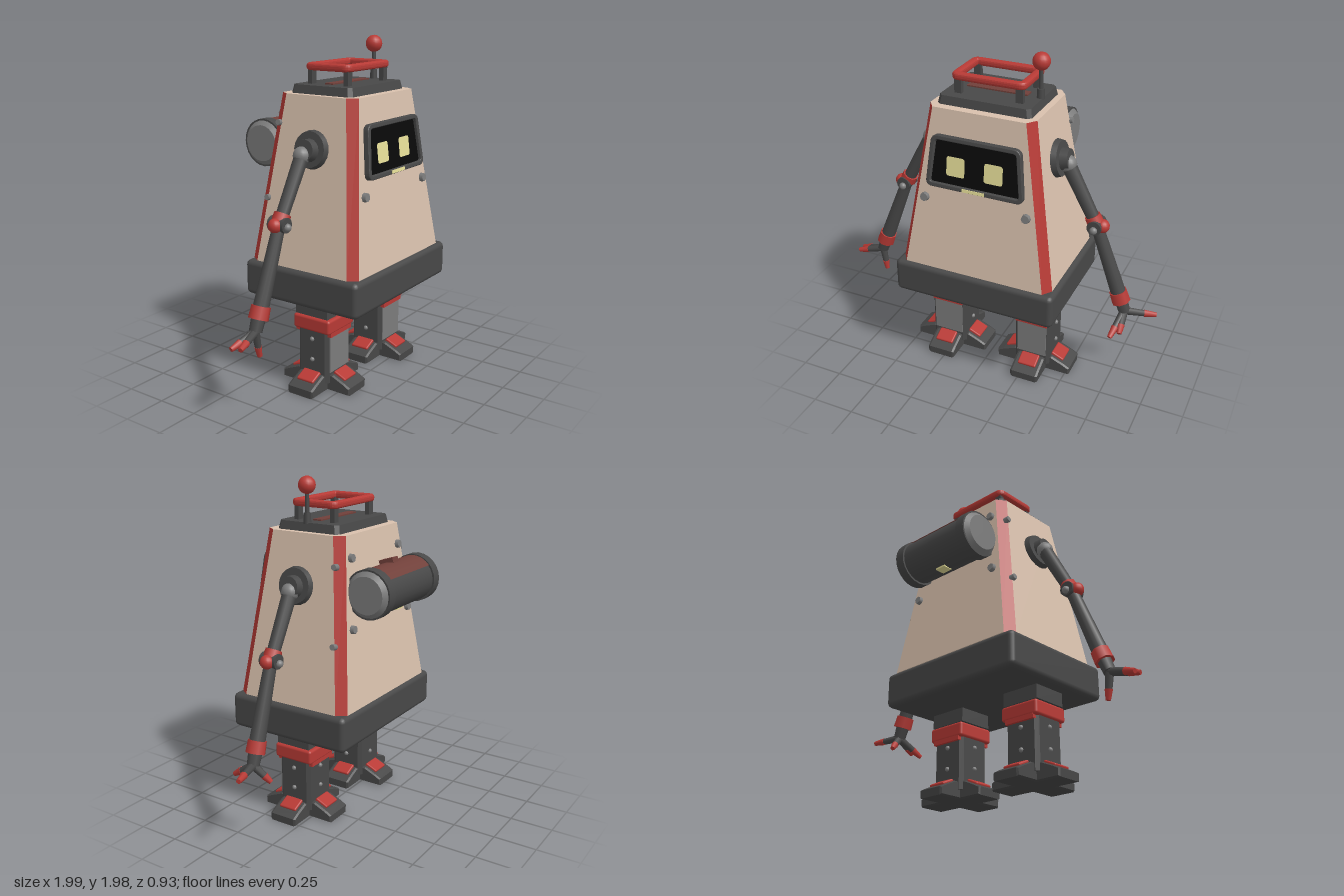
import * as THREE from 'three';
import { RoundedBoxGeometry } from 'three/addons/geometries/RoundedBoxGeometry.js';

const paint = (name, color) => Object.assign(new THREE.MeshStandardMaterial({ color }), { name });
const cream = paint('cream', 0xd9c1ad), red = paint('red', 0xb83a35), dark = paint('charcoal', 0x484848);
const grey = paint('grey', 0x7c7c7c), black = paint('black', 0x0a0a0a), yellow = paint('pale yellow', 0xe6de98);
const brown = paint('rust brown', 0x71403a);
const V = (x, y, z) => new THREE.Vector3(x, y, z);
const CX = 0.012, CZ = 0.07; // body axis

function add(parent, name, geo, mat, x = 0, y = 0, z = 0, rx = 0, ry = 0, rz = 0) {
  const m = new THREE.Mesh(geo, mat);
  m.name = name;
  m.position.set(x, y, z);
  m.rotation.set(rx, ry, rz);
  parent.add(m);
  return m;
}
const box = (w, h, d) => new THREE.BoxGeometry(w, h, d);
const soft = (w, h, d, r) => new RoundedBoxGeometry(w, h, d, 2, r);
const cyl = (r0, r1, h, n = 16) => new THREE.CylinderGeometry(r0, r1, h, n);
const ball = (r) => new THREE.SphereGeometry(r, 16, 12);

// Tapered rod between two points
function rod(parent, name, a, b, ra, rb, mat, n = 12) {
  const m = add(parent, name, cyl(rb, ra, a.distanceTo(b), n), mat);
  m.position.copy(a).lerp(b, 0.5);
  m.quaternion.setFromUnitVectors(V(0, 1, 0), b.clone().sub(a).normalize());
}

// Chamfered frustum; groups: 0 sides, 1 chamfers, 2 caps
function frustum(h, w0, d0, w1, d1, cx, cz) {
  const ring = (y, w, d) => [
    [cx - w, d], [w - cx, d], [w, d - cz], [w, cz - d], [w - cx, -d], [cx - w, -d], [-w, cz - d], [-w, d - cz],
  ].map(([x, z]) => V(x, y, z));
  const lo = ring(0, w0, d0), hi = ring(h, w1, d1), pts = [], geo = new THREE.BufferGeometry();
  for (let i = 0; i < 8; i++) {
    const j = (i + 1) % 8;
    geo.addGroup(pts.length, 6, i % 2);
    pts.push(lo[i], lo[j], hi[j], lo[i], hi[j], hi[i]);
  }
  geo.addGroup(pts.length, 36, 2);
  for (let i = 1; i < 7; i++) pts.push(hi[0], hi[i], hi[i + 1], lo[0], lo[i + 1], lo[i]);
  geo.setFromPoints(pts);
  geo.computeVertexNormals();
  return geo;
}

// Rounded trapezoid outline (half widths at bottom and top, half height, corner radius)
function outline(P, wb, wt, h, r) {
  const c = [[-wb, -h], [wb, -h], [wt, h], [-wt, h]].map(([x, y]) => new THREE.Vector2(x, y));
  const p = new P();
  c.forEach((q, i) => {
    const a = q.clone().add(c[(i + 3) % 4].clone().sub(q).setLength(r));
    const b = q.clone().add(c[(i + 1) % 4].clone().sub(q).setLength(r));
    i ? p.lineTo(a.x, a.y) : p.moveTo(a.x, a.y);
    p.quadraticCurveTo(q.x, q.y, b.x, b.y);
  });
  p.closePath();
  return p;
}
function frame(wb, wt, h, t, r, depth, bevel) {
  const s = outline(THREE.Shape, wb - bevel, wt - bevel, h - bevel, r);
  s.holes.push(outline(THREE.Path, wb - t + bevel, wt - t + bevel, h - t + bevel, r * 0.7));
  return new THREE.ExtrudeGeometry(s, {
    depth: depth - 2 * bevel, bevelThickness: bevel, bevelSize: bevel, bevelSegments: 3, curveSegments: 6,
  }).translate(0, 0, bevel);
}

function buildBody(g) {
  add(g, 'skirt', soft(0.985, 0.205, 0.77, 0.03), dark, CX, 0.628, 0.075);
  add(g, 'bodyShell', frustum(0.95, 0.465, 0.365, 0.312, 0.255, 0.04, 0.055), [cream, red, cream], CX, 0.73, CZ);
  add(g, 'topCap', frustum(0.05, 0.275, 0.205, 0.265, 0.195, 0.02, 0.02), dark, CX, 1.678, CZ);
  add(g, 'topStrip', box(0.36, 0.009, 0.055), brown, CX, 1.731, 0.065);

  // Roof handle and antenna
  add(g, 'handleRing', frame(0.218, 0.218, 0.15, 0.044, 0.03, 0.042, 0.015), red, CX, 1.803, CZ, -Math.PI / 2);
  for (const sx of [-1, 1]) for (const sz of [-1, 1])
    add(g, 'handlePost', box(0.042, 0.095, 0.028), dark, CX + sx * 0.18, 1.765, CZ + sz * 0.12);
  add(g, 'antennaBase', cyl(0.02, 0.022, 0.06), dark, 0.263, 1.75, 0.08);
  add(g, 'antennaRod', cyl(0.012, 0.012, 0.18), dark, 0.263, 1.81, 0.08);
  add(g, 'antennaBall', ball(0.049), red, 0.263, 1.93, 0.08);

  // Face screen, lying on the sloping front
  const s = new THREE.Group();
  s.name = 'screen';
  s.position.set(CX + 0.002, 1.39, 0.358);
  s.rotation.x = -0.115;
  g.add(s);
  add(s, 'screenFrame', frame(0.292, 0.262, 0.15, 0.026, 0.035, 0.035, 0.006), dark);
  add(s, 'screenGlass', new THREE.ShapeGeometry(outline(THREE.Shape, 0.272, 0.244, 0.13, 0.02)), black, 0, 0, 0.016);
  for (const x of [-0.117, 0.108])
    add(s, 'eye', new THREE.ShapeGeometry(outline(THREE.Shape, 0.055, 0.054, 0.056, 0.016)), yellow, x, -0.018, 0.02);
  add(s, 'screenLight', box(0.135, 0.018, 0.009), yellow, 0, -0.137, 0.034);

  // Body bolts
  for (const sx of [-1, 1]) {
    add(g, 'frontBolt', cyl(0.024, 0.028, 0.03, 8), grey, CX + sx * 0.306, 1.16, 0.392, Math.PI / 2 - 0.115);
    for (const [y, x, z] of [[1.56, 0.25, -0.205], [1.18, 0.3, -0.25]])
      add(g, 'backBolt', cyl(0.022, 0.026, 0.03, 8), grey, CX + sx * x, y, z, -Math.PI / 2 + 0.115);
    for (const [y, x, z] of [[1.52, 0.34, -0.16], [1.1, 0.41, -0.195]])
      add(g, 'sideBolt', cyl(0.017, 0.02, 0.03, 8), grey, CX + sx * x, y, z, 0, 0, -sx * (Math.PI / 2 - 0.16));
  }
}

function buildBarrel(g) {
  const b = new THREE.Group();
  b.name = 'backBarrel';
  b.position.set(CX, 1.378, -0.327);
  b.rotation.z = Math.PI / 2;
  g.add(b);
  add(b, 'barrel', cyl(0.128, 0.128, 0.56, 24), dark);
  for (const s of [-1, 1]) {
    add(b, 'barrelRim', cyl(0.139, 0.139, 0.06, 24), dark, 0, s * 0.25, 0);
    add(b, 'barrelEnd', cyl(s > 0 ? 0.105 : 0.13, s > 0 ? 0.13 : 0.105, 0.024, 24), grey, 0, s * 0.291, 0);
  }
  const lid = new THREE.CylinderGeometry(0.133, 0.133, 0.44, 16, 1, true, Math.PI * 0.2, Math.PI * 0.58);
  brown.side = THREE.DoubleSide;
  add(b, 'barrelLid', lid, brown);
  add(b, 'lidLatch', box(0.03, 0.06, 0.09), brown, 0.133, 0, 0.035, 0, -0.3);
  add(b, 'barrelLabel', box(0.009, 0.07, 0.06), yellow, -0.127, 0, -0.01);
}

function buildArm(g, s, shoulder, elbow, wrist, tips) {
  const a = new THREE.Group();
  a.name = s > 0 ? 'leftArm' : 'rightArm';
  g.add(a);
  const tilt = -s * (Math.PI / 2 - 0.16);
  add(a, 'shoulderPlate', cyl(0.1, 0.113, 0.05, 20), dark, CX + s * 0.365, 1.395, 0.08, 0, 0, tilt);
  add(a, 'shoulderHub', cyl(0.058, 0.07, 0.08, 16), dark, CX + s * 0.395, 1.395, 0.08, 0, 0, tilt);
  add(a, 'shoulderJoint', ball(0.05), grey, ...shoulder);
  rod(a, 'upperArm', shoulder, elbow, 0.042, 0.036, dark);
  add(a, 'elbowHinge', cyl(0.042, 0.042, 0.105), dark, ...elbow, Math.PI / 2);
  rod(a, 'elbowBand', elbow.clone().lerp(shoulder, 0.03), elbow.clone().lerp(shoulder, 0.15), 0.05, 0.047, red, 8);
  add(a, 'elbowCap', ball(0.04), red, elbow.x + s * 0.035, elbow.y, elbow.z);
  for (const z of [-0.055, 0.055]) add(a, 'elbowBolt', ball(0.022), grey, elbow.x, elbow.y - 0.01, elbow.z + z);
  rod(a, 'forearm', elbow, wrist, 0.035, 0.045, dark);
  const palm = wrist.clone().lerp(elbow, -0.22);
  rod(a, 'wristCuff', wrist.clone().lerp(elbow, 0.07), wrist.clone().lerp(elbow, -0.08), 0.053, 0.056, red, 8);
  rod(a, 'palm', wrist, palm, 0.042, 0.036, dark, 8);
  for (const t of tips) {
    const k = palm.clone().lerp(t, 0.62);
    rod(a, 'finger', palm, k, 0.024, 0.019, dark, 8);
    rod(a, 'fingerTip', k, t, 0.022, 0.014, red, 8);
  }
}

function buildLeg(g, x, name) {
  const l = new THREE.Group();
  l.name = name;
  l.position.set(x, 0, 0.098);
  g.add(l);
  add(l, 'hip', box(0.24, 0.09, 0.22), dark, 0, 0.49, 0);
  add(l, 'kneeBand', soft(0.252, 0.085, 0.25, 0.015), red, 0, 0.397, 0);
  add(l, 'kneeBandLip', box(0.2, 0.03, 0.245), red, 0, 0.35, 0);
  add(l, 'shin', frustum(0.33, 0.113, 0.105, 0.113, 0.105, 0.02, 0.02), dark, 0, 0.05, 0);
  add(l, 'shinPlate', box(0.185, 0.225, 0.009), grey, 0, 0.228, 0.107);
  for (const y of [0.18, 0.305]) {
    for (const s of [-1, 1]) add(l, 'shinBolt', ball(0.014), grey, s * 0.113, y, 0);
    add(l, 'shinBolt', ball(0.014), grey, 0, y, -0.105);
  }
  // Cross-shaped foot: four sloping toes with red pads
  const p = new THREE.Shape([[0, 0.006], [0.228, 0.006], [0.23, 0.042], [0.195, 0.06], [0.12, 0.092], [0, 0.094]]
    .map(([a, b]) => new THREE.Vector2(a, b)));
  const toe = new THREE.ExtrudeGeometry(p, { depth: 0.15, bevelThickness: 0.012, bevelSize: 0.006, bevelSegments: 1 });
  toe.translate(0, 0, -0.075);
  for (let i = 0; i < 4; i++) {
    const f = new THREE.Group();
    f.name = 'toe';
    f.rotation.y = i * Math.PI / 2;
    l.add(f);
    add(f, 'toeSole', toe, dark);
    add(f, 'toePad', soft(0.085, 0.028, 0.115, 0.008), red, 0.147, 0.086, 0, 0, 0, -0.42);
  }
}

export function createModel() {
  const g = new THREE.Group();
  g.name = 'robot';
  buildBody(g);
  buildBarrel(g);
  buildArm(g, 1, V(0.432, 1.372, 0.08), V(0.615, 1.03, 0.08), V(0.775, 0.59, 0.07),
    [V(0.99, 0.485, 0.02), V(0.822, 0.415, 0.19), V(0.775, 0.395, 0.22), V(0.77, 0.4, -0.02)]);
  buildArm(g, -1, V(-0.42, 1.372, 0.065), V(-0.61, 1.03, 0.055), V(-0.785, 0.59, 0.055),
    [V(-0.99, 0.445, 0.03), V(-0.985, 0.455, 0.09), V(-0.8, 0.345, 0.06)]);
  buildLeg(g, 0.291, 'leftLeg');
  buildLeg(g, -0.271, 'rightLeg');
  return g;
}
